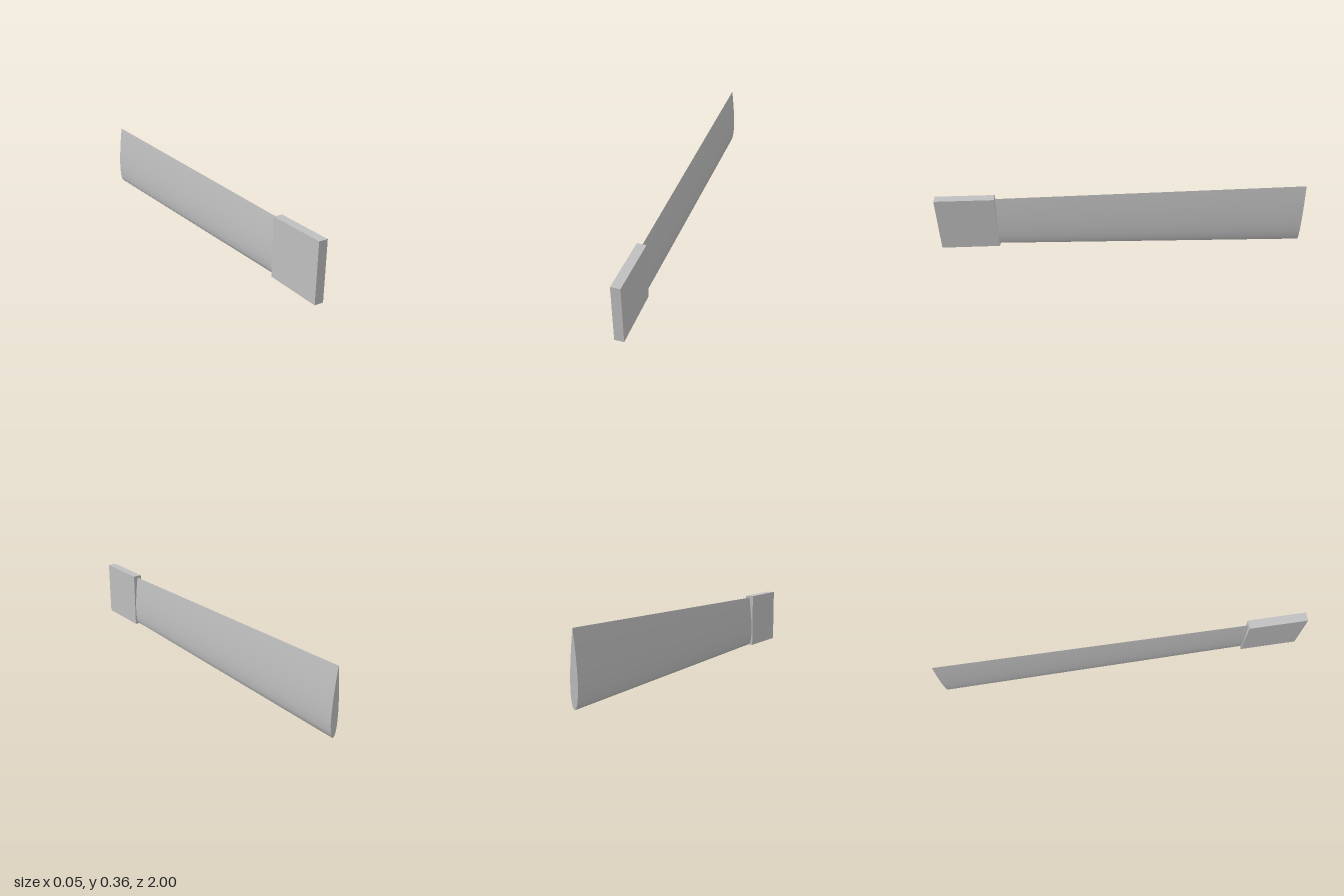
import * as THREE from 'three';

const N = 10; // chordwise steps per side

// Symmetric aerofoil section, trailing edge (top) down +x to the nose and back up -x
function section(y0, y1, z) {
  const c = y1 - y0, pts = [];
  for (let i = 0; i <= 2 * N; i++) {
    const t = (1 + Math.cos(Math.PI * i / N)) / 2;
    const half = 0.6 * (0.2969 * Math.sqrt(t) - 0.126 * t - 0.3516 * t ** 2 + 0.2843 * t ** 3 - 0.1036 * t ** 4);
    const side = i <= N ? 1 : -1;
    pts.push([side * Math.max(half, 0) * c, y0 + t * c, z]);
  }
  return pts;
}

function geometry(points, index) {
  const g = new THREE.BufferGeometry();
  g.setAttribute('position', new THREE.Float32BufferAttribute(points.flat(), 3));
  g.setIndex(index);
  g.computeVertexNormals();
  return g;
}

export function createModel() {
  const group = new THREE.Group();
  const grey = new THREE.MeshStandardMaterial({ color: 0xbfbfbf });
  grey.name = 'light grey';
  const add = (name, geo) => {
    const m = new THREE.Mesh(geo, grey);
    m.name = name;
    group.add(m);
    return m;
  };

  // Rectangular root block
  add('rootBlock', new THREE.BoxGeometry(0.048, 0.311, 0.318)).position.set(0, 0.1895, 0.841);

  // Blade skin lofted from root to the wider tip
  const root = section(0.037, 0.335, 0.682);
  const tip = section(0, 0.36, -1);
  const n = root.length, skin = [], cap = [];
  for (let i = 0; i < n - 1; i++) {
    skin.push(i, i + 1, n + i, i + 1, n + i + 1, n + i);
    if (i > 0 && i < n - 2) cap.push(0, i, i + 1);
  }
  add('blade', geometry([...root, ...tip], skin));

  // Flat end of the blade
  add('bladeTip', geometry(tip, cap));
  return group;
}
